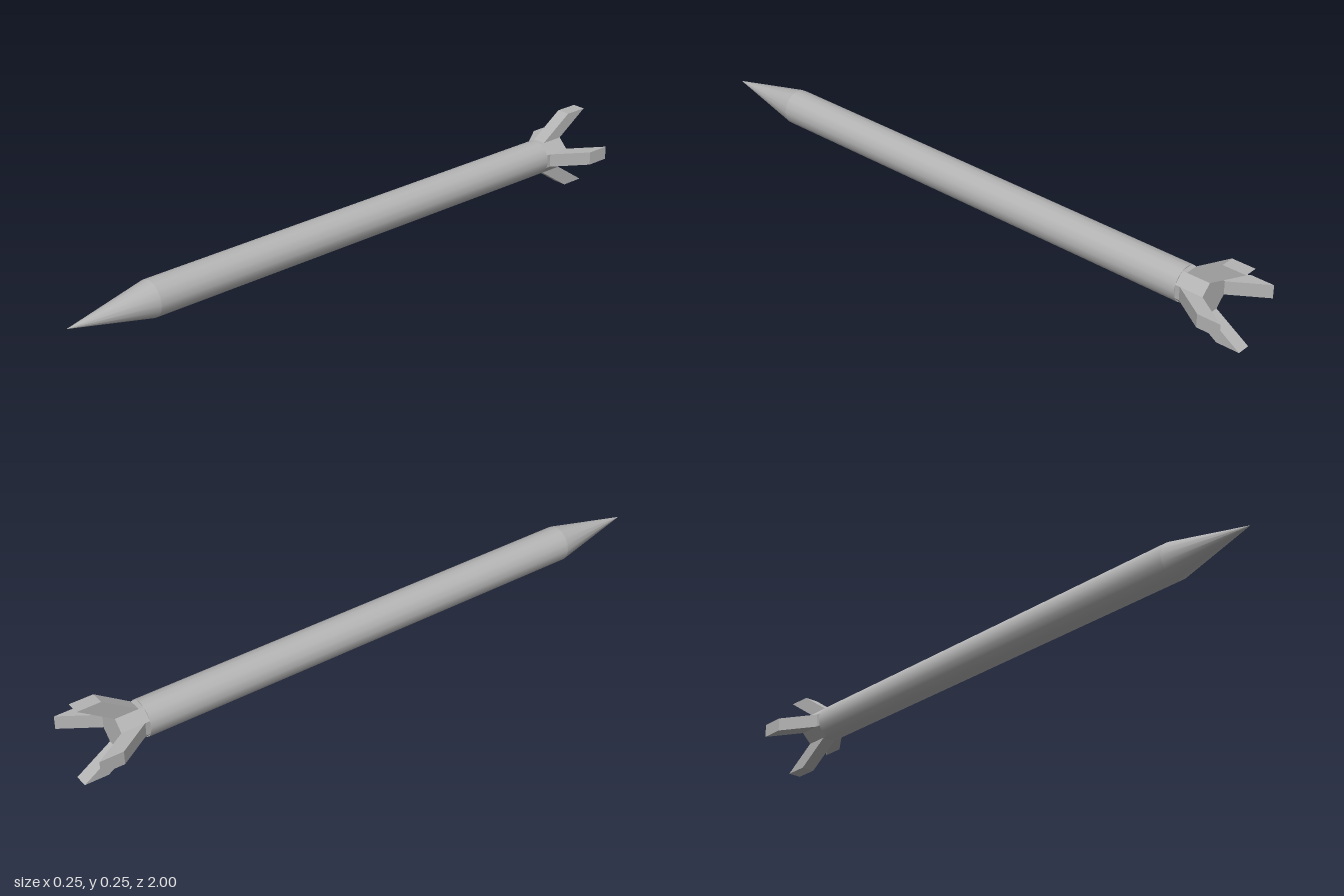
import * as THREE from 'three';

const AXIS_Y = 0.125;        // height of the centre line
const RADIUS = 0.056;
const NOSE_Z = 0.73, BODY_END = -0.8, TAIL_END = -0.89;

export function createModel() {
  const group = new THREE.Group();
  const grey = new THREE.MeshStandardMaterial({ color: 0xb4b4b4 });
  grey.name = 'plainGrey';

  const add = (name, geometry) => {
    const mesh = new THREE.Mesh(geometry, grey);
    mesh.name = name;
    mesh.position.y = AXIS_Y;
    group.add(mesh);
    return mesh;
  };

  // Cylinder or cone lying along z, from zBack to zFront
  const alongZ = (rFront, zBack, zFront, sides, turn = 0, open = false) =>
    new THREE.CylinderGeometry(rFront, RADIUS, zFront - zBack, sides, 1, open, turn)
      .rotateX(Math.PI / 2)
      .translate(0, 0, (zBack + zFront) / 2);

  // Sixteen-sided smooth shaft and pointed nose
  add('body', alongZ(RADIUS, BODY_END, NOSE_Z, 16));
  add('noseCone', alongZ(0, NOSE_Z, 1, 16, 0, true));

  // Eight-sided faceted tail with flats facing up, down and sideways
  add('tail', alongZ(RADIUS, TAIL_END, BODY_END, 8, Math.PI / 8).toNonIndexed())
    .geometry.computeVertexNormals();

  // Four swept fins, each as wide as one flat of the tail
  const flat = RADIUS * Math.cos(Math.PI / 8);
  const width = 2 * RADIUS * Math.sin(Math.PI / 8);
  const profile = new THREE.Shape([
    new THREE.Vector2(-0.815, flat),
    new THREE.Vector2(-0.925, 0.125),
    new THREE.Vector2(-1, 0.125),
    new THREE.Vector2(TAIL_END, flat),
  ]);
  const fin = new THREE.ExtrudeGeometry(profile, { depth: width, bevelEnabled: false })
    .rotateY(-Math.PI / 2)
    .translate(width / 2, 0, 0);
  ['topFin', 'leftFin', 'bottomFin', 'rightFin'].forEach((name, i) => {
    add(name, fin).rotation.z = -i * Math.PI / 2;
  });

  return group;
}
